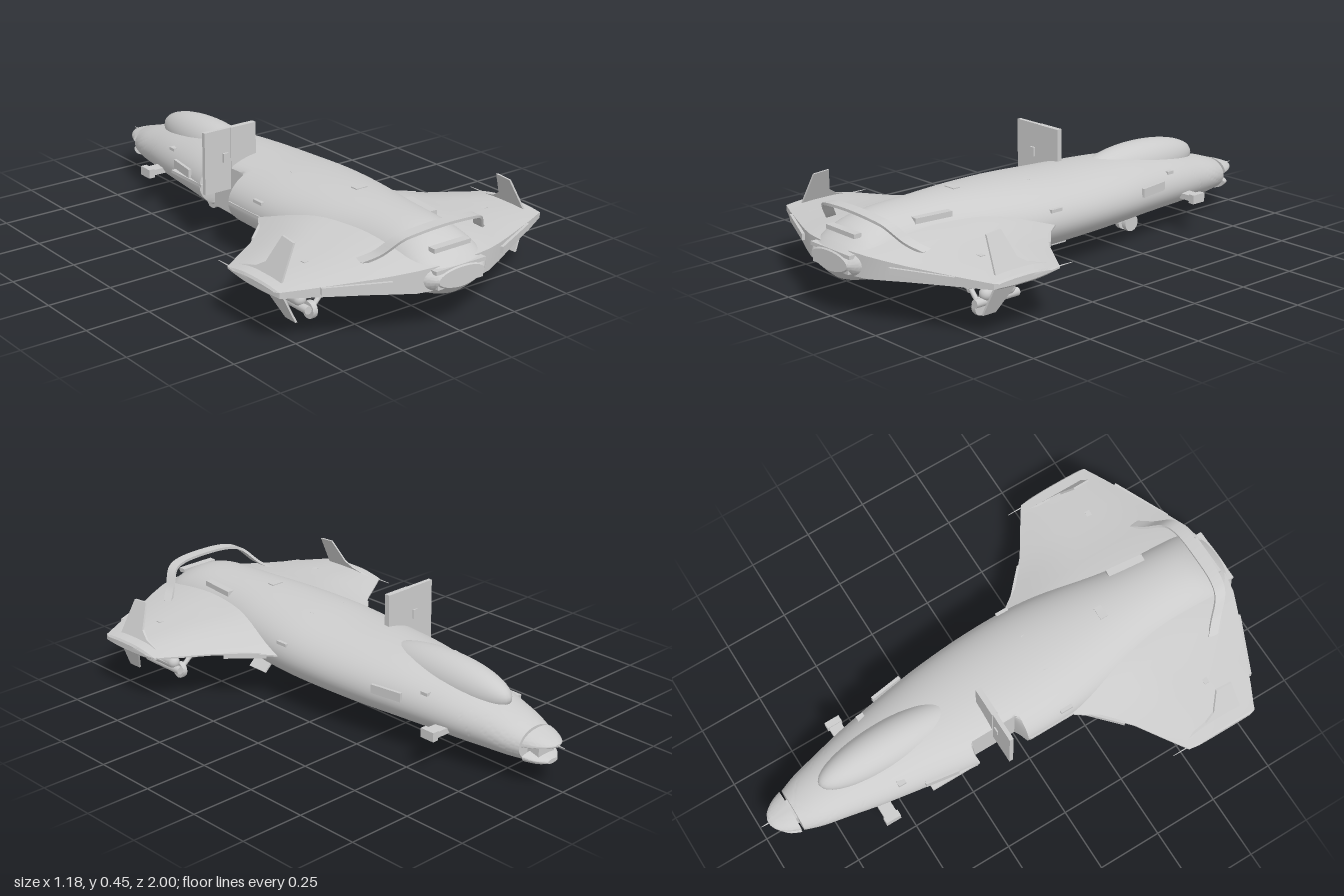
import * as THREE from 'three';
import { toCreasedNormals } from 'three/addons/utils/BufferGeometryUtils.js';

const grey = new THREE.MeshStandardMaterial({ color: 0xcccccc, side: THREE.DoubleSide });
const V = (x, y, z) => new THREE.Vector3(x, y, z);

function add(parent, name, geo, x = 0, y = 0, z = 0) {
  const m = new THREE.Mesh(geo, grey);
  m.name = name;
  m.position.set(x, y, z);
  parent.add(m);
  return m;
}
const box = (p, name, w, h, d, x, y, z) => add(p, name, new THREE.BoxGeometry(w, h, d), x, y, z);

// Round bar between two points
function rod(p, name, a, b, r, r2 = r) {
  const m = add(p, name, new THREE.CylinderGeometry(r2, r, a.distanceTo(b), 12));
  m.position.copy(a).lerp(b, 0.5);
  m.quaternion.setFromUnitVectors(V(0, 1, 0), b.clone().sub(a).normalize());
  return m;
}

// Skin over closed rings that run counter-clockwise around the travel direction
function skin(rings, crease = 0.6) {
  const n = rings[0].length, pos = [], idx = [];
  rings.forEach(r => r.forEach(v => pos.push(v.x, v.y, v.z)));
  for (let i = 0; i < rings.length - 1; i++)
    for (let j = 0; j < n; j++) {
      const k = (j + 1) % n, a = i * n + j, b = i * n + k;
      idx.push(a, b, a + n, b, b + n, a + n);
    }
  [0, rings.length - 1].forEach((i, end) => {
    const c = rings[i].reduce((s, v) => s.add(v), V(0, 0, 0)).divideScalar(n);
    const ci = pos.length / 3;
    pos.push(c.x, c.y, c.z);
    for (let j = 0; j < n; j++) {
      const a = i * n + j, b = i * n + (j + 1) % n;
      if (end) idx.push(ci, a, b); else idx.push(ci, b, a);
    }
  });
  const g = new THREE.BufferGeometry();
  g.setAttribute('position', new THREE.Float32BufferAttribute(pos, 3));
  g.setIndex(idx);
  return toCreasedNormals(g, crease);
}

// Hull lofted along z; station = [z, half width, top, bottom, edge height]
function hull(stations, rows, clip = () => -9) {
  const col = c => new THREE.SplineCurve(stations.map(s => new THREE.Vector2(s[0], s[c])));
  const cols = [1, 2, 3, 4].map(col), rings = [];
  for (let i = 0; i <= rows; i++) {
    const p = cols.map(c => c.getPoint(i / rows)), z = p[0].x;
    const [w, t, b, c] = p.map(q => q.y), ring = [];
    for (let j = 0; j < 64; j++) {
      const a = j / 64 * Math.PI * 2, co = Math.cos(a), si = Math.sin(a);
      const x = Math.sign(co) * w * Math.abs(co) ** (si < 0 ? 1.25 : 0.95);
      ring.push(V(Math.max(x, clip(z)), si > 0 ? c + (t - c) * si : c + (c - b) * si, z));
    }
    rings.push(ring);
  }
  return skin(rings);
}

// Flat plate with given outline in (z, y), sheared sideways by x(y)
function fin(p, name, outline, xAt, thick) {
  const s = new THREE.Shape(outline.map(o => new THREE.Vector2(...o)));
  const g = new THREE.ExtrudeGeometry(s, { depth: thick, bevelEnabled: false });
  const q = g.attributes.position;
  for (let i = 0; i < q.count; i++) {
    const z = q.getX(i), y = q.getY(i);
    q.setXYZ(i, xAt(y) + q.getZ(i) - thick / 2, y, z);
  }
  g.computeVertexNormals();
  return add(p, name, g);
}

// Everything that is mirrored left and right
function makeSide() {
  const g = new THREE.Group();

  // Swept wing, station = [x, front z, rear z, top, bottom]
  const st = [[0.08, 0.08, 0.975, 0.29, 0.13], [0.16, 0.12, 0.96, 0.283, 0.135], [0.235, 0.18, 0.93, 0.268, 0.148],
    [0.30, 0.27, 0.9, 0.255, 0.158], [0.40, 0.36, 0.855, 0.242, 0.17], [0.50, 0.425, 0.81, 0.23, 0.182],
    [0.56, 0.465, 0.78, 0.222, 0.187], [0.582, 0.48, 0.77, 0.22, 0.19], [0.588, 0.52, 0.75, 0.212, 0.196]];
  const rings = st.map(([x, z0, z1, t, b]) => {
    const up = [], low = [], mid = 0.203;
    for (let i = 0; i <= 20; i++) {
      const u = (i / 20) ** 1.4;
      const f = Math.min(1, u / 0.45), k = Math.sin(f * Math.PI / 2) * (1 - 0.5 * Math.max(0, (u - 0.6) / 0.4) ** 2);
      const z = z0 + (z1 - z0) * u;
      up.push(V(x, mid + 0.003 + (t - mid) * k, z));
      low.unshift(V(x, mid - 0.003 + (b - mid) * k, z));
    }
    return [...up, ...low];
  });
  add(g, 'wing', skin(rings));
  rod(g, 'wingtipAntenna', V(0.573, 0.205, 0.5), V(0.573, 0.205, 0.415), 0.003, 0.001);

  // Trailing edge flap and vents
  const flap = box(g, 'trailingFlap', 0.24, 0.024, 0.02, 0.35, 0.21, 0.878);
  flap.rotation.y = 0.43;
  const slat = box(g, 'leadingVent', 0.16, 0.02, 0.02, 0.31, 0.198, 0.285);
  slat.rotation.y = -0.75;

  // Canted tip fins, above and below
  fin(g, 'upperFin', [[0.5, 0.215], [0.73, 0.215], [0.715, 0.345], [0.65, 0.35], [0.62, 0.26], [0.58, 0.235]],
    y => 0.545 - (y - 0.215) * 0.5, 0.008);
  fin(g, 'lowerFin', [[0.62, 0.2], [0.73, 0.2], [0.745, 0.075], [0.69, 0.075]],
    y => 0.55 - (0.2 - y) * 0.45, 0.008);

  // Pod slung beneath the wing
  box(g, 'podPylon', 0.014, 0.07, 0.05, 0.425, 0.165, 0.62);
  const pod = add(g, 'podBody', new THREE.CapsuleGeometry(0.024, 0.1, 6, 14), 0.425, 0.115, 0.62);
  pod.rotation.x = Math.PI / 2;
  rod(g, 'podBarrel', V(0.425, 0.09, 0.72), V(0.425, 0.09, 0.53), 0.015);

  // Main landing gear
  rod(g, 'mainLeg', V(0.19, 0.145, 0.6), V(0.3, 0.085, 0.63), 0.014);
  rod(g, 'mainLegLower', V(0.28, 0.1, 0.625), V(0.345, 0.04, 0.63), 0.009);
  rod(g, 'mainBrace', V(0.22, 0.14, 0.68), V(0.3, 0.085, 0.63), 0.007);
  rod(g, 'mainWheel', V(0.338, 0.04, 0.63), V(0.358, 0.04, 0.63), 0.032);

  // Belly strake
  const strake = box(g, 'bellyStrake', 0.065, 0.007, 0.09, 0.128, 0.076, 0.4);
  strake.rotation.z = -0.75;

  // Forward stub thruster and side panel
  box(g, 'thrusterArm', 0.1, 0.022, 0.05, 0.165, 0.145, -0.575);
  box(g, 'thrusterTip', 0.025, 0.035, 0.06, 0.215, 0.145, -0.575);
  const panel = box(g, 'sidePanel', 0.012, 0.034, 0.13, 0.202, 0.222, -0.35);
  panel.rotation.y = 0.15;

  // Deck fittings
  box(g, 'deckLatch', 0.025, 0.012, 0.03, 0.145, 0.25, -0.49);
  box(g, 'deckLatch', 0.02, 0.012, 0.05, 0.222, 0.255, 0.17);
  box(g, 'deckLatch', 0.018, 0.01, 0.018, 0.07, 0.332, 0.17);
  box(g, 'deckLatch', 0.025, 0.012, 0.02, 0.4, 0.24, 0.67);
  return g;
}

export function createModel() {
  const model = new THREE.Group();
  model.name = 'spaceplane';

  // Fuselage, with the boarding recess on the right side
  add(model, 'fuselage', hull([
    [-0.87, 0.085, 0.208, 0.08, 0.15], [-0.8, 0.11, 0.232, 0.075, 0.158], [-0.7, 0.133, 0.258, 0.072, 0.168],
    [-0.6, 0.156, 0.28, 0.07, 0.176], [-0.5, 0.175, 0.297, 0.07, 0.183], [-0.35, 0.2, 0.317, 0.068, 0.19],
    [-0.2, 0.222, 0.326, 0.064, 0.195], [0, 0.238, 0.334, 0.06, 0.2], [0.2, 0.238, 0.345, 0.058, 0.203],
    [0.4, 0.215, 0.35, 0.062, 0.205], [0.6, 0.18, 0.348, 0.078, 0.205], [0.8, 0.165, 0.338, 0.1, 0.205],
    [0.9, 0.16, 0.31, 0.115, 0.205], [0.96, 0.14, 0.27, 0.13, 0.205], [1.0, 0.1, 0.235, 0.165, 0.203]],
  200, z => (z > -0.2 && z < 0 ? -0.16 : -9)));

  // Split nose: upper lip, lower jaw, recessed core and probe
  add(model, 'noseUpper', hull([[-0.88, 0.084, 0.206, 0.148, 0.16], [-0.92, 0.067, 0.193, 0.154, 0.163],
    [-0.955, 0.04, 0.18, 0.158, 0.166], [-0.97, 0.012, 0.172, 0.162, 0.167]], 20));
  add(model, 'noseLower', hull([[-0.88, 0.08, 0.132, 0.081, 0.118], [-0.92, 0.058, 0.122, 0.086, 0.11],
    [-0.95, 0.025, 0.112, 0.095, 0.104]], 16));
  model.children.slice(-2).forEach(m => { m.material = grey; });
  box(model, 'noseCore', 0.08, 0.07, 0.06, 0, 0.14, -0.89);
  rod(model, 'noseProbe', V(0, 0.167, -0.95), V(0, 0.167, -1.0), 0.004, 0.001);

  // Spindle canopy
  const canopy = add(model, 'canopy', new THREE.SphereGeometry(1, 40, 24), 0, 0.262, -0.45);
  canopy.scale.set(0.088, 0.09, 0.3);

  for (const s of [1, -1]) {
    const side = makeSide();
    side.name = s > 0 ? 'leftSide' : 'rightSide';
    side.scale.x = s;
    model.add(side);
  }

  // Raised rear arch, a flat band leaning backwards
  const arch = new THREE.CatmullRomCurve3([V(-0.27, 0.25, 0.79), V(-0.225, 0.28, 0.83), V(-0.17, 0.338, 0.878),
    V(-0.12, 0.353, 0.893), V(0, 0.36, 0.897), V(0.12, 0.353, 0.893), V(0.17, 0.338, 0.878),
    V(0.225, 0.28, 0.83), V(0.27, 0.25, 0.79)]);
  const band = arch.getPoints(60).map((p, i) => {
    const t = arch.getTangent(i / 60), n = V(-t.y, t.x, 0).normalize().multiplyScalar(0.005), h = 0.022;
    return [[1, -1], [-1, -1], [-1, 1], [1, 1]].map(([a, b]) => V(p.x + n.x * a, p.y + n.y * a, p.z + h * b));
  });
  add(model, 'rearArch', skin(band));

  // Rear exhaust lips
  box(model, 'exhaustTop', 0.16, 0.016, 0.03, 0, 0.292, 0.935);
  box(model, 'exhaustLip', 0.22, 0.014, 0.03, 0, 0.235, 0.98);
  box(model, 'exhaustLip', 0.2, 0.014, 0.03, 0, 0.18, 0.98);

  // Upright boarding door in two leaves, sill and hinge
  box(model, 'doorOuter', 0.115, 0.24, 0.016, -0.2175, 0.33, -0.1);
  box(model, 'doorInner', 0.112, 0.18, 0.022, -0.104, 0.36, -0.1);
  box(model, 'doorHandle', 0.022, 0.035, 0.03, -0.186, 0.34, -0.098);
  box(model, 'doorSill', 0.03, 0.012, 0.2, -0.205, 0.2, -0.3);
  box(model, 'doorSill', 0.045, 0.012, 0.19, -0.22, 0.205, 0.1);

  // Upper deck vents
  box(model, 'deckVent', 0.03, 0.02, 0.15, 0.12, 0.309, 0.65).rotation.y = -0.1;
  box(model, 'deckHatch', 0.05, 0.006, 0.03, 0, 0.35, 0.46);

  // Nose gear
  rod(model, 'noseLeg', V(0, 0.09, -0.36), V(0, 0.036, -0.41), 0.009);
  for (const s of [1, -1]) rod(model, 'noseWheel', V(s * 0.009, 0.036, -0.41), V(s * 0.029, 0.036, -0.41), 0.034);

  // Belly keel plate
  box(model, 'bellyPlate', 0.14, 0.012, 0.45, 0, 0.062, 0.2);
  return model;
}
